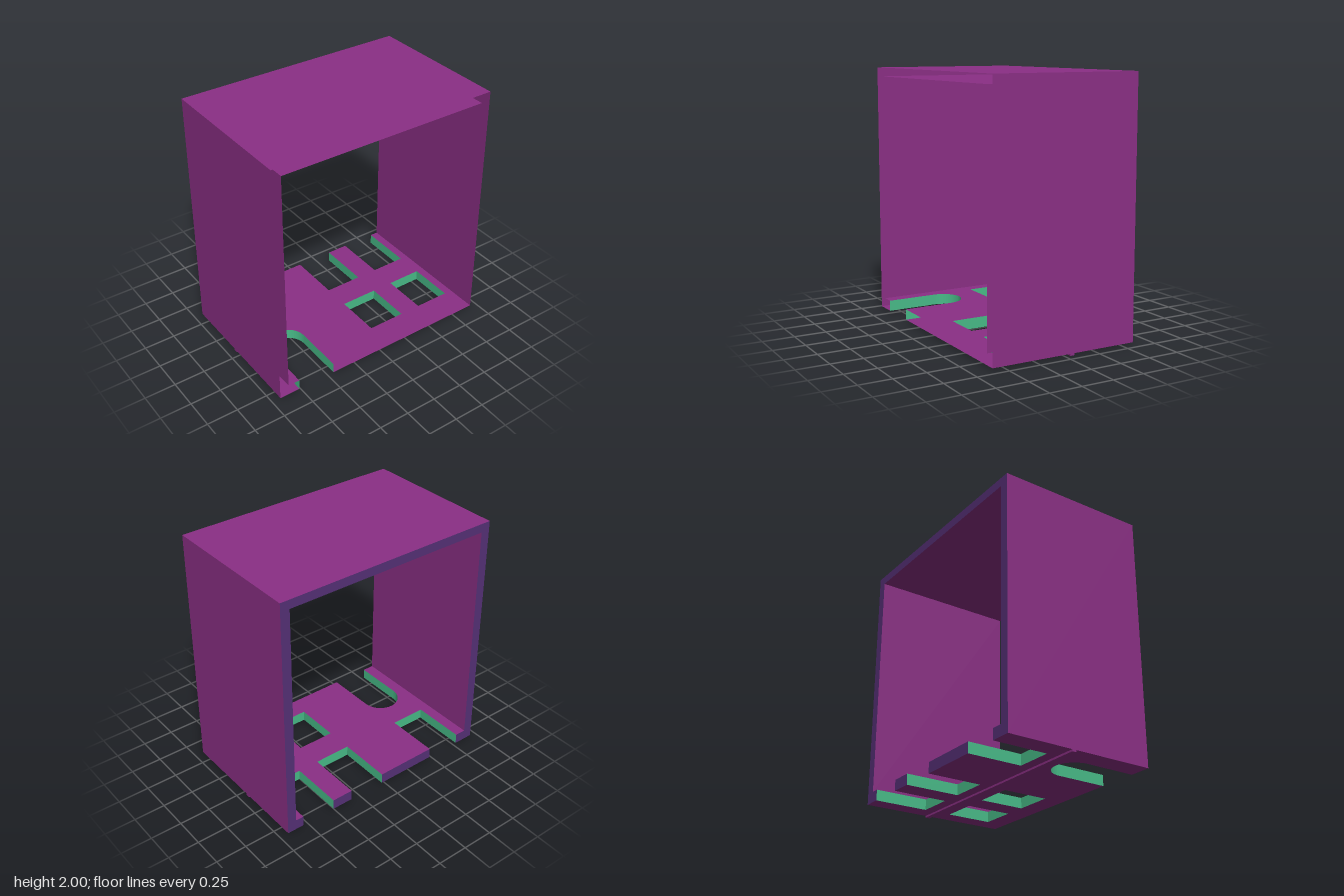
import * as THREE from 'three';

const W = 0.935, D = 0.595;            // outer half width and half depth
const INNER = 0.86, CEILING = 1.93;    // inner half width and ceiling height
const BASE = 0.015, FLOOR = 0.1, TOP = 2;

export function createModel() {
  const group = new THREE.Group();
  const material = (name, color) => {
    const m = new THREE.MeshStandardMaterial({ color, side: THREE.DoubleSide });
    m.name = name;
    return m;
  };
  const purple = material('purple', 0x8b2f85);
  const indigo = material('indigo', 0x553076);
  const green = material('green', 0x48bb88);

  const add = (name, geometry, mat) => {
    const mesh = new THREE.Mesh(geometry, mat);
    mesh.name = name;
    group.add(mesh);
    return mesh;
  };

  // Upright strip following a path of [x, z] points
  const strip = (points, y0, y1) => {
    const pos = [];
    for (let i = 0; i < points.length - 1; i++) {
      const [ax, az] = points[i], [bx, bz] = points[i + 1];
      pos.push(ax, y0, az, bx, y0, bz, bx, y1, bz, ax, y0, az, bx, y1, bz, ax, y1, az);
    }
    const g = new THREE.BufferGeometry();
    g.setAttribute('position', new THREE.Float32BufferAttribute(pos, 3));
    g.computeVertexNormals();
    return g;
  };

  // Cut-outs in the floor
  const backSlot = (x0, x1) => [[x1, -D], [x1, -0.16], [x0, -0.16], [x0, -D]];
  const backSlots = [backSlot(-0.77, -0.475), backSlot(0.03, 0.335), backSlot(0.51, 0.795)];
  const hole = (x0, x1) => [[x1, 0.06], [x1, 0.43], [x0, 0.43], [x0, 0.06], [x1, 0.06]];
  const holes = [hole(0.03, 0.335), hole(0.51, 0.795)];
  const arc = new THREE.Path().absarc(-0.61, 0.19, 0.155, Math.PI, 2 * Math.PI, false);
  const frontSlot = [[-0.765, D], ...arc.getPoints(12).map(p => [p.x, p.y]), [-0.455, D]];

  // Floor sheets, upper and lower
  const toVectors = pts => pts.map(([x, z]) => new THREE.Vector2(x, z));
  const floorSheet = (edge, y, up) => {
    const outline = [[-edge, -D]];
    backSlots.forEach(s => outline.push(...[...s].reverse()));
    outline.push([edge, -D], [edge, D], ...[...frontSlot].reverse(), [-edge, D]);
    const shape = new THREE.Shape(toVectors(outline));
    holes.forEach(h => shape.holes.push(new THREE.Path(toVectors(h.slice(0, -1)))));
    const g = new THREE.ShapeGeometry(shape).rotateX(Math.PI / 2).translate(0, y, 0);
    if (up) {
      g.index.array.reverse();
      g.computeVertexNormals();
    }
    return g;
  };
  add('floorTop', floorSheet(INNER, FLOOR, true), purple);
  add('floorUnderside', floorSheet(W, BASE, false), purple);

  // Cut-out side faces
  backSlots.forEach(s => add('backSlotSides', strip(s, BASE, FLOOR), green));
  holes.forEach(h => add('holeSides', strip(h, BASE, FLOOR), green));
  add('roundSlotSides', strip(frontSlot, BASE, FLOOR), green);

  // Outer and inner side walls
  for (const s of [-1, 1]) {
    add('outerWall', strip([[s * W, s * D], [s * W, -s * D]], BASE, TOP), purple);
    add('innerWall', strip([[s * INNER, -s * D], [s * INNER, s * D]], FLOOR, CEILING), purple);
  }

  // Roof and ceiling
  add('roof', new THREE.PlaneGeometry(2 * W, 2 * D).rotateX(-Math.PI / 2).translate(0, TOP, 0), purple);
  add('ceiling', new THREE.PlaneGeometry(2 * INNER, 2 * D).rotateX(Math.PI / 2).translate(0, CEILING, 0), purple);

  // Back rim; the front of the hollow shell stays open
  const rim = (x0, x1, y0, y1) => add('backRim',
    new THREE.PlaneGeometry(x1 - x0, y1 - y0).rotateY(Math.PI)
      .translate((x0 + x1) / 2, (y0 + y1) / 2, -D), indigo);
  rim(-W, -INNER, BASE, TOP);
  rim(INNER, W, BASE, TOP);
  rim(-INNER, INNER, CEILING, TOP);
  const cuts = [-INNER, -0.77, -0.475, 0.03, 0.335, 0.51, 0.795, INNER];
  for (let i = 0; i < cuts.length; i += 2) rim(cuts[i], cuts[i + 1], BASE, FLOOR);

  // Thin rib across the underside
  add('undersideRib', new THREE.BoxGeometry(2 * W, BASE, 0.035), purple)
    .position.set(0, BASE / 2, -0.058);

  return group;
}
